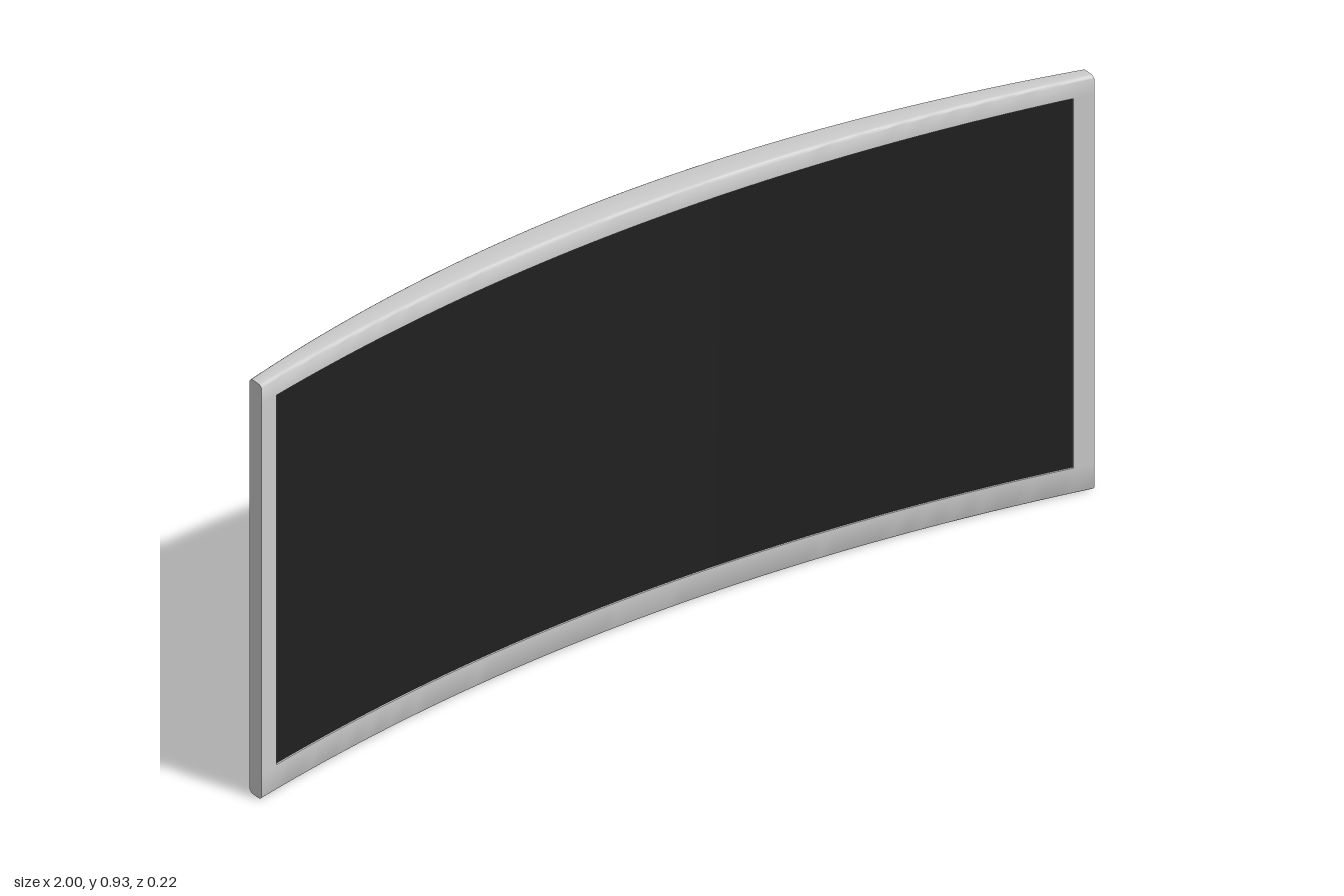
import * as THREE from 'three';
import { toCreasedNormals } from 'three/addons/utils/BufferGeometryUtils.js';

const H = 0.93, R = 0.01, RECESS = 0.006;
const SX = 0.957, SY0 = 0.06, SY1 = 0.89; // screen opening

const frontZ = x => -0.008 + 0.12 * x * x;
const backZ = (x, y) => {
  const u = Math.max(0, 1 - (x / 0.74) ** 2);
  const v = Math.max(0, 1 - ((y - H / 2) / (H / 2)) ** 2);
  return -0.077 + 0.149 * x * x - 0.035 * u * u * v; // soft bulge in the middle
};

// Closed cross-section at x: up the front, over the top, down the back, under
function section(x, recess) {
  const pts = [], f = frontZ(x);
  const corner = (y, z, from) => {
    for (let k = 0; k <= 4; k++) {
      const a = from + (k / 4) * Math.PI / 2;
      pts.push([x, y + R * Math.sin(a), z + R * Math.cos(a)]);
    }
  };
  corner(R, f - R, -Math.PI / 2);
  pts.push([x, SY0, f], [x, SY0, f - recess], [x, SY1, f - recess], [x, SY1, f]);
  corner(H - R, f - R, 0);
  corner(H - R, backZ(x, H - R) + R, Math.PI / 2);
  for (let k = 1; k < 20; k++) {
    const y = H - R - (H - 2 * R) * k / 20;
    pts.push([x, y, backZ(x, y)]);
  }
  corner(R, backZ(x, R) + R, Math.PI);
  return pts;
}

// Skin a row of cross-sections, with optional loop closing and end caps
function skin(rows, closed) {
  const n = rows[0].length, index = [];
  for (let i = 0; i < rows.length - 1; i++) {
    for (let j = 0; j < (closed ? n : n - 1); j++) {
      const k = (j + 1) % n, a = i * n, b = a + n;
      index.push(a + j, b + j, b + k, a + j, b + k, a + k);
    }
  }
  if (closed) {
    const last = (rows.length - 1) * n;
    for (let j = 1; j < n - 1; j++) {
      index.push(0, j, j + 1, last, last + j + 1, last + j);
    }
  }
  const g = new THREE.BufferGeometry();
  g.setAttribute('position', new THREE.Float32BufferAttribute(rows.flat(2), 3));
  g.setIndex(index);
  return toCreasedNormals(g, 0.6);
}

export function createModel() {
  const group = new THREE.Group();
  group.name = 'curvedDisplay';
  const xs = Array.from({ length: 61 }, (_, i) => SX * (i / 30 - 1));

  // Curved housing with a recessed opening in front
  const rows = [
    section(-1, 0), section(-SX, 0),
    ...xs.map(x => section(x, RECESS)),
    section(SX, 0), section(1, 0),
  ];
  const housing = new THREE.Mesh(skin(rows, true), new THREE.MeshStandardMaterial({ color: 0xcccccc }));
  housing.name = 'housing';
  group.add(housing);

  // Dark screen lying in the recess
  const strips = xs.map(x => [SY0, SY1].map(y => [x, y, frontZ(x) - RECESS + 0.002]));
  const screen = new THREE.Mesh(skin(strips, false), new THREE.MeshStandardMaterial({ color: 0x202020 }));
  screen.name = 'screen';
  group.add(screen);

  return group;
}
